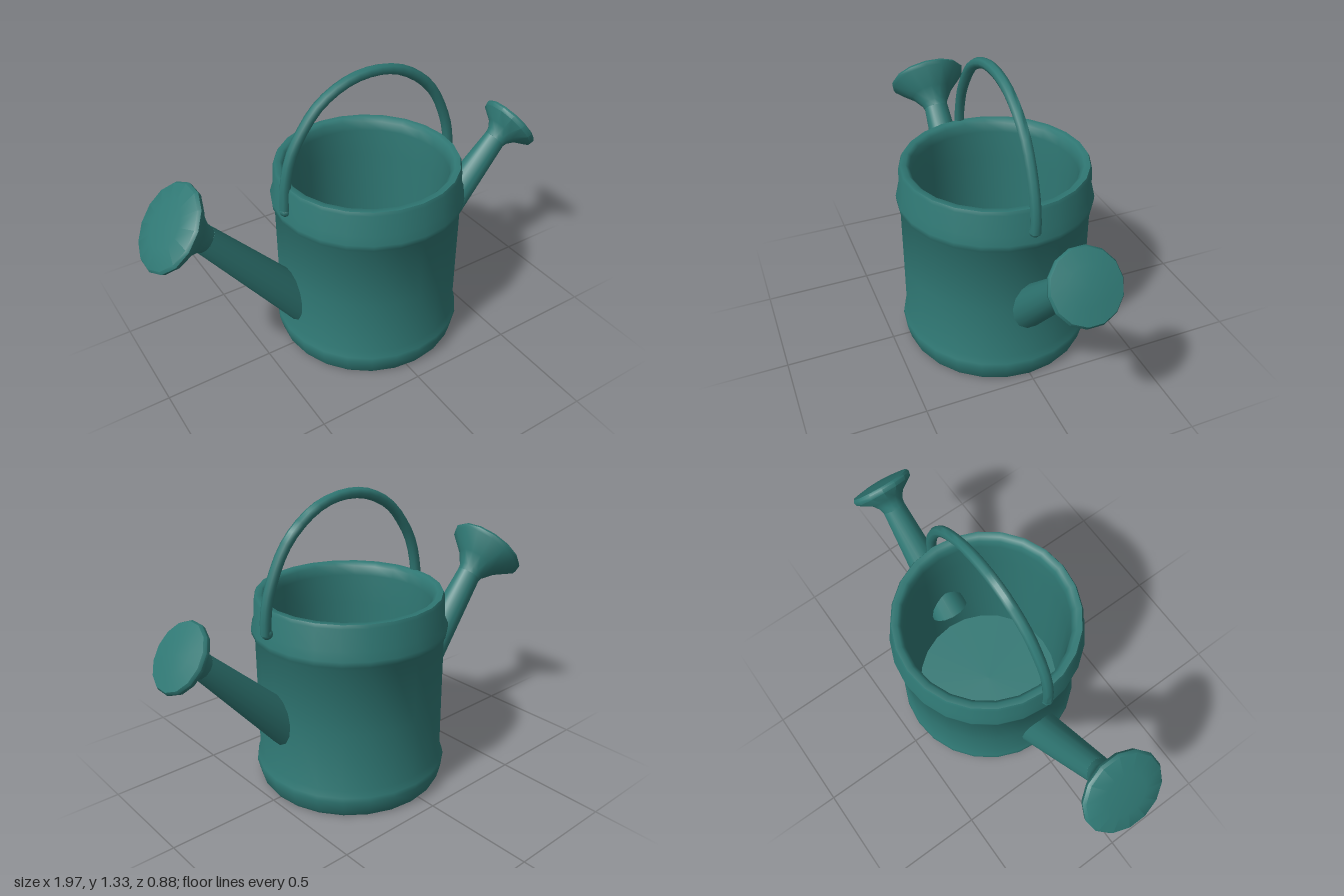
import * as THREE from 'three';
import { toCreasedNormals } from 'three/addons/utils/BufferGeometryUtils.js';

const v2 = (p) => new THREE.Vector2(p[0], p[1]);
const UP = new THREE.Vector3(0, 1, 0);

export function createModel() {
  const model = new THREE.Group();
  const teal = new THREE.MeshStandardMaterial({ color: 0x2f7773 });
  teal.name = 'teal enamel';

  function add(parent, name, geometry, crease = 0.8) {
    const mesh = new THREE.Mesh(toCreasedNormals(geometry, crease), teal);
    mesh.name = name;
    parent.add(mesh);
    return mesh;
  }
  // Turned part whose local y axis runs from a point along a direction
  function turned(parent, name, profile, sides, from, dir) {
    const mesh = add(parent, name, new THREE.LatheGeometry(profile.map(v2), sides));
    mesh.position.copy(from);
    mesh.quaternion.setFromUnitVectors(UP, dir.clone().normalize());
  }

  // Hollow can with two raised bands and a rounded rim
  const can = [
    [0, 0], [0.412, 0], [0.422, 0.015], [0.438, 0.08], [0.434, 0.1], [0.421, 0.13],
    [0.42, 0.4], [0.42, 0.695], [0.434, 0.715], [0.436, 0.74], [0.421, 0.775],
    [0.417, 0.875], [0.41, 0.89], [0.385, 0.89], [0.37, 0.875], [0.366, 0.83],
    [0.36, 0.7], [0.358, 0.03], [0, 0.03],
  ];
  turned(model, 'can', can, 24, new THREE.Vector3(0.048, 0, 0), UP);

  // Tapered spout with a flared rose on its end
  function spout(name, base, neck, face, rBase, rNeck, rFace) {
    const group = new THREE.Group();
    group.name = name;
    const a = new THREE.Vector3(base[0], base[1], 0);
    const b = new THREE.Vector3(neck[0], neck[1], 0);
    const c = new THREE.Vector3(face[0], face[1], 0);
    const length = a.distanceTo(b);
    const depth = b.distanceTo(c);
    turned(group, name + 'Pipe',
      [[0, 0], [rBase, 0], [rNeck, length], [0, length + 0.02]], 14, a, b.clone().sub(a));
    turned(group, name + 'Rose', [
      [0, -0.02], [rNeck * 0.97, -0.012], [rNeck * 1.1, 0.02], [rFace * 0.55, depth * 0.42],
      [rFace * 0.97, depth - 0.03], [rFace, depth - 0.012], [rFace * 0.95, depth],
      [rFace * 0.5, depth + 0.01], [0, depth + 0.014],
    ], 14, b, c.clone().sub(b));
    model.add(group);
  }
  spout('rightSpout', [-0.25, 0.17], [-0.745, 0.78], [-0.882, 0.895], 0.1, 0.06, 0.19);
  spout('leftSpout', [0.38, 0.32], [0.80, 0.757], [0.898, 0.828], 0.094, 0.055, 0.15);

  // Arched carrying handle
  const arch = new THREE.CatmullRomCurve3([
    [-0.375, 0.775], [-0.368, 0.9], [-0.335, 1.03], [-0.285, 1.12], [-0.195, 1.225],
    [-0.06, 1.295], [0.07, 1.31], [0.195, 1.285], [0.305, 1.22], [0.39, 1.13],
    [0.465, 0.97], [0.487, 0.87], [0.49, 0.795],
  ].map(([x, y]) => new THREE.Vector3(x, y, 0.01)));
  const handle = new THREE.Group();
  handle.name = 'handle';
  add(handle, 'handleArch', new THREE.TubeGeometry(arch, 28, 0.024, 8), 1);

  // Rounded lugs closing the handle ends against the can
  for (const [x, y] of [[-0.375, 0.78], [0.485, 0.8]]) {
    const lug = add(handle, 'handleEnd', new THREE.SphereGeometry(0.026, 8, 6), 1);
    lug.position.set(x, y, 0.01);
  }
  model.add(handle);

  return model;
}
